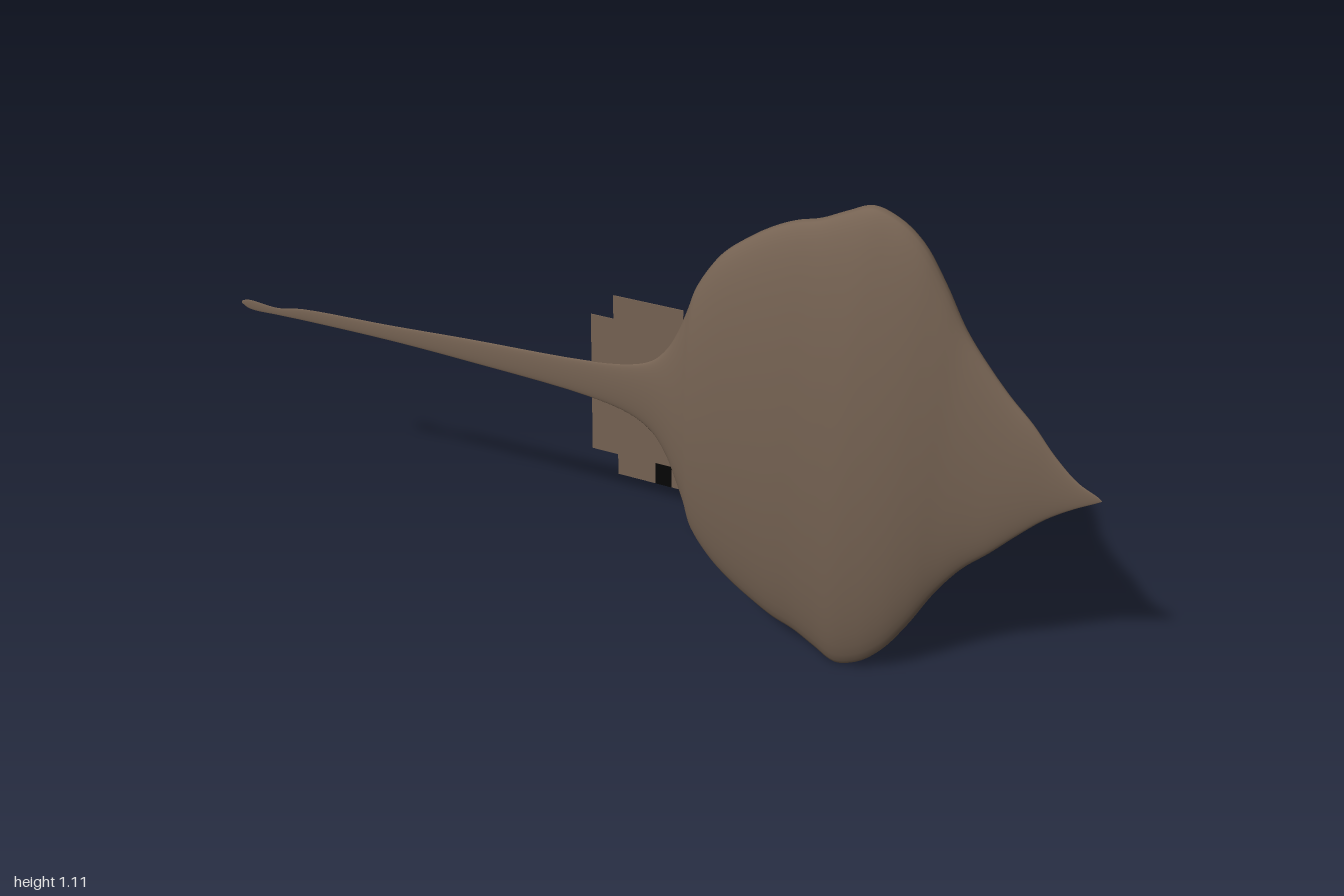
import * as THREE from 'three';

// Body stations from tail tip to snout: [x, lower edge y, upper edge y]
const STATIONS = [
  [-1, 0.565, 0.572], [-0.98, 0.555, 0.579], [-0.9, 0.556, 0.575], [-0.83, 0.558, 0.588],
  [-0.6, 0.56, 0.6], [-0.4, 0.555, 0.613], [-0.1, 0.54, 0.63], [0, 0.52, 0.646],
  [0.05, 0.49, 0.667], [0.085, 0.44, 0.705], [0.11, 0.38, 0.755], [0.13, 0.325, 0.81],
  [0.15, 0.26, 0.87], [0.2, 0.19, 0.95], [0.25, 0.145, 0.995], [0.3, 0.11, 1.03],
  [0.35, 0.08, 1.055], [0.4, 0.06, 1.07], [0.45, 0.03, 1.095], [0.5, 0.002, 1.116],
  [0.55, 0.02, 1.1], [0.6, 0.07, 1.06], [0.65, 0.155, 0.985], [0.7, 0.26, 0.895],
  [0.75, 0.34, 0.828], [0.8, 0.395, 0.77], [0.85, 0.455, 0.72], [0.9, 0.51, 0.66],
  [0.95, 0.55, 0.613], [0.99, 0.576, 0.592], [1, 0.583, 0.585],
];
const FLATNESS = 0.138; // thickness relative to span

// Closed skin of flat elliptical rings along the stations
function buildBody() {
  const curve = new THREE.CatmullRomCurve3(STATIONS.map((s) => new THREE.Vector3(...s)));
  const rings = curve.getPoints(150);
  const sides = 48;
  const positions = [];
  const index = [];
  rings.forEach(({ x, y: low, z: high }) => {
    const half = (high - low) / 2;
    for (let j = 0; j < sides; j++) {
      const a = (j / sides) * Math.PI * 2;
      positions.push(x, (low + high) / 2 + half * Math.cos(a), half * FLATNESS * Math.sin(a));
    }
  });
  for (let i = 0; i < rings.length - 1; i++) {
    for (let j = 0; j < sides; j++) {
      const a = i * sides + j;
      const b = i * sides + ((j + 1) % sides);
      index.push(a, b, a + sides, b, b + sides, a + sides);
    }
  }
  const geometry = new THREE.BufferGeometry();
  geometry.setAttribute('position', new THREE.Float32BufferAttribute(positions, 3));
  geometry.setIndex(index);
  geometry.computeVertexNormals();
  return geometry;
}

// Thin plate cut from an outline in the xy plane
function plate(points, depth) {
  const shape = new THREE.Shape(points.map((p) => new THREE.Vector2(...p)));
  const geometry = new THREE.ExtrudeGeometry(shape, { depth, bevelEnabled: false });
  return geometry.translate(0, 0, -depth / 2);
}

export function createModel() {
  const skin = new THREE.MeshStandardMaterial({ name: 'brown skin', color: 0x766353 });
  const dark = new THREE.MeshStandardMaterial({ name: 'black patch', color: 0x050505 });
  const group = new THREE.Group();
  group.name = 'ray';

  const add = (name, geometry, material) => {
    const mesh = new THREE.Mesh(geometry, material);
    mesh.name = name;
    group.add(mesh);
  };

  add('bodyAndTail', buildBody(), skin);

  // Stepped pelvic fins at the root of the tail
  add('upperPelvicFin', plate([
    [-0.09, 0.585], [0.12, 0.585], [0.12, 0.803], [-0.038, 0.803], [-0.038, 0.747], [-0.09, 0.747],
  ], 0.002), skin);
  add('lowerPelvicFin', plate([
    [-0.09, 0.585], [-0.09, 0.408], [-0.028, 0.408], [-0.028, 0.356], [0.118, 0.356], [0.118, 0.585],
  ], 0.002), skin);

  // Dark patch on the lower fin
  add('finPatch', plate([[0.062, 0.357], [0.1, 0.357], [0.1, 0.41], [0.062, 0.41]], 0.005), dark);

  return group;
}
